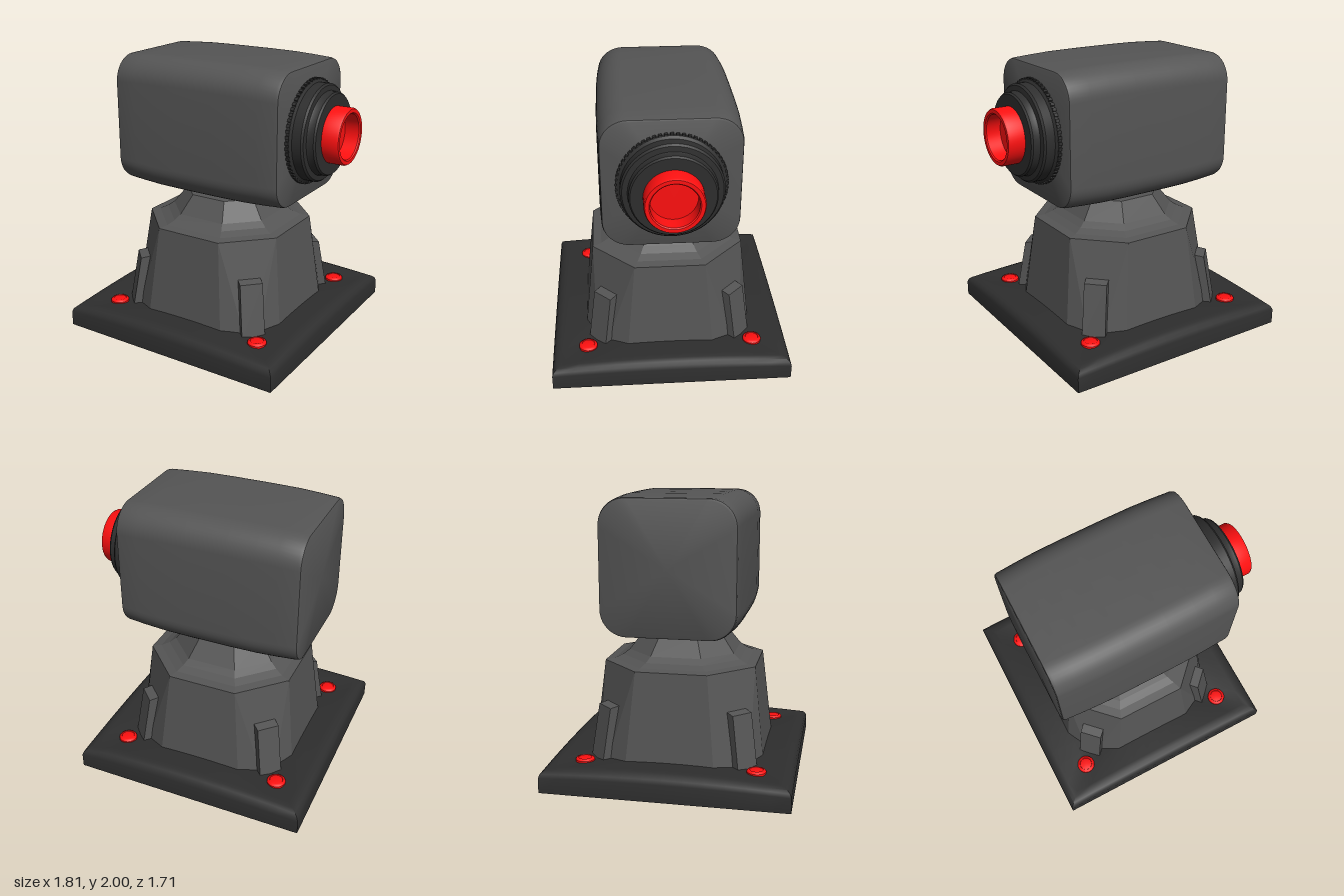
import * as THREE from 'three';
import { toCreasedNormals } from 'three/addons/utils/BufferGeometryUtils.js';

const CX = -0.05; // centre of the stand along x
const paint = (color, flatShading = false) => new THREE.MeshStandardMaterial({ color, flatShading });
const grey = paint(0x555555), greyFlat = paint(0x555555, true);
const black = paint(0x2e2e2e), red = paint(0xff1010);

// Skin between stacked rings of [x, y, z] points (counter-clockwise from above), capped at both ends
function loft(rings, crease) {
  const n = rings[0].length, pos = rings.flat(2), index = [];
  rings.slice(1).forEach((_, r) => {
    for (let i = 0; i < n; i++) {
      const a = r * n + i, b = r * n + (i + 1) % n;
      index.push(a, b, b + n, a, b + n, a + n);
    }
  });
  [0, rings.length - 1].forEach((r) => {
    const c = pos.length / 3;
    for (let k = 0; k < 3; k++) pos.push(rings[r].reduce((s, p) => s + p[k], 0) / n);
    for (let i = 0; i < n; i++) {
      const a = r * n + i, b = r * n + (i + 1) % n;
      if (r) index.push(a, b, c); else index.push(b, a, c);
    }
  });
  const geo = new THREE.BufferGeometry();
  geo.setAttribute('position', new THREE.Float32BufferAttribute(pos, 3));
  geo.setIndex(index);
  geo.computeVertexNormals();
  return crease ? toCreasedNormals(geo, crease) : geo;
}

// Repeat one side's [x, z] points by quarter turns, in counter-clockwise order
function quarterTurns(points) {
  const out = [];
  let side = points;
  for (let q = 0; q < 4; q++) {
    out.push(...side);
    side = side.map(([x, z]) => [z, -x]);
  }
  return out;
}

function add(parent, name, geo, mat, x = 0, y = 0, z = 0) {
  const mesh = new THREE.Mesh(geo, mat);
  mesh.name = name;
  mesh.position.set(x, y, z);
  parent.add(mesh);
  return mesh;
}

const lathe = (pts, segments = 64) => toCreasedNormals(
  new THREE.LatheGeometry(pts.map(([r, y]) => new THREE.Vector2(r, y)), segments), 0.6);

// Square plate with rolled edges, each edge bowed up in the middle
function basePlate() {
  const profile = [[0.855, 0], [0.855, 0.125], [0.845, 0.155], [0.825, 0.175], [0.795, 0.187],
    [0.76, 0.188], [0.6, 0.182], [0.3, 0.18]];
  const steps = 12;
  return loft(profile.map(([h, y]) => {
    const side = [];
    for (let i = 0; i < steps; i++) side.push([h, h * (1 - 2 * i / steps)]);
    return quarterTurns(side).map(([x, z]) => {
      const t = Math.min(Math.abs(x), Math.abs(z)) / h;
      return [x, y * (1 - 0.15 * t * t), z];
    });
  }), 0.6);
}

// Faceted pedestal: twelve sides at the foot, eight at the shoulder
function pedestal() {
  const ring = (y, h, f, a, b) => quarterTurns([[a, b], [h, f], [h, -f], [a, -b]].slice(0, 3)
    .concat([[a, -b]])).map(([x, z]) => [x, y, z]);
  const rings = [ring(0.14, 0.615, 0.31, 0.535, 0.46), ring(0.8, 0.542, 0.25, 0.542, 0.25)];
  const collar = [[0.48, 0.81], [0.425, 0.835], [0.38, 0.87], [0.285, 1.0]];
  collar.forEach(([h, y]) => rings.push(ring(y, h, h * 0.47, h, h * 0.47)));
  return loft(rings);
}

// Leaning corner buttress, built facing +x
function buttress() {
  const section = (y, inner, outer, w, drop = 0) =>
    [[outer, y - drop, w], [outer, y - drop, -w], [inner, y, -w], [inner, y, w]];
  return loft([section(0.14, 0.58, 0.755, 0.082), section(0.55, 0.52, 0.685, 0.08, 0.025)]);
}

// Softly barrelled housing with rounded corners, lofted along y
function housing() {
  const stations = [[-0.705, 0.03], [-0.7, 0.02], [-0.68, 0.015], [-0.55, 0.008], [-0.4, 0.002], [-0.2, 0],
    [0.1, 0], [0.3, 0.002], [0.45, 0.008], [0.58, 0.015], [0.6, 0.02], [0.605, 0.03]];
  return loft(stations.map(([y, inset]) => {
    const h = 0.477 - inset, r = 0.18, corner = [];
    for (let i = 0; i <= 10; i++) {
      const a = i / 10 * Math.PI / 2;
      corner.push([h - r + r * Math.cos(a), -(h - r + r * Math.sin(a))]);
    }
    return quarterTurns(corner).map(([x, z]) => [x, y, z]);
  }), 0.5);
}

export function createModel() {
  const model = new THREE.Group();
  model.name = 'pedestalCamera';

  // Stand
  add(model, 'basePlate', basePlate(), black, CX);
  add(model, 'pedestal', pedestal(), greyFlat, CX);
  const buttressGeo = buttress();
  const boltGeo = lathe([[0, 0], [0.066, 0], [0.066, 0.022], [0.06, 0.03], [0.047, 0.035], [0.045, 0.031], [0, 0.031]], 32);
  for (let i = 0; i < 4; i++) {
    const a = Math.PI / 4 + i * Math.PI / 2;
    add(model, 'cornerButtress', buttressGeo, greyFlat, CX).rotation.y = a;
    add(model, 'baseBolt', boltGeo, red, CX + 0.6 * Math.sign(Math.cos(a)), 0.15, 0.6 * Math.sign(Math.sin(a)));
  }
  add(model, 'neck', new THREE.CylinderGeometry(0.136, 0.136, 0.14, 32), black, CX, 1.04);

  // Head, modelled along y and turned to point along +x
  const head = new THREE.Group();
  head.name = 'head';
  head.position.y = 1.5225;
  head.rotation.z = -Math.PI / 2;
  model.add(head);
  add(head, 'housing', housing(), grey);

  const lens = new THREE.Group();
  lens.name = 'lens';
  lens.position.x = -0.006;
  head.add(lens);
  add(lens, 'lensRings', lathe([[0, 0.59], [0.355, 0.59], [0.355, 0.628], [0.345, 0.635], [0.337, 0.64],
    [0.337, 0.705], [0.325, 0.718], [0.29, 0.722], [0.285, 0.73], [0.285, 0.77], [0.275, 0.782], [0, 0.782]]), black);

  // Grip ribs round the widest ring
  const ribGeo = new THREE.BoxGeometry(0.02, 0.03, 0.022), ribs = 60;
  for (let i = 0; i < ribs; i++) {
    const a = i / ribs * Math.PI * 2;
    add(lens, 'gripRib', ribGeo, black, 0.356 * Math.cos(a), 0.615, -0.356 * Math.sin(a)).rotation.y = a;
  }
  add(lens, 'lensHood', lathe([[0.195, 0.77], [0.195, 0.888], [0.188, 0.9], [0.163, 0.9],
    [0.155, 0.892], [0.155, 0.79], [0, 0.79]]), red);
  return model;
}
